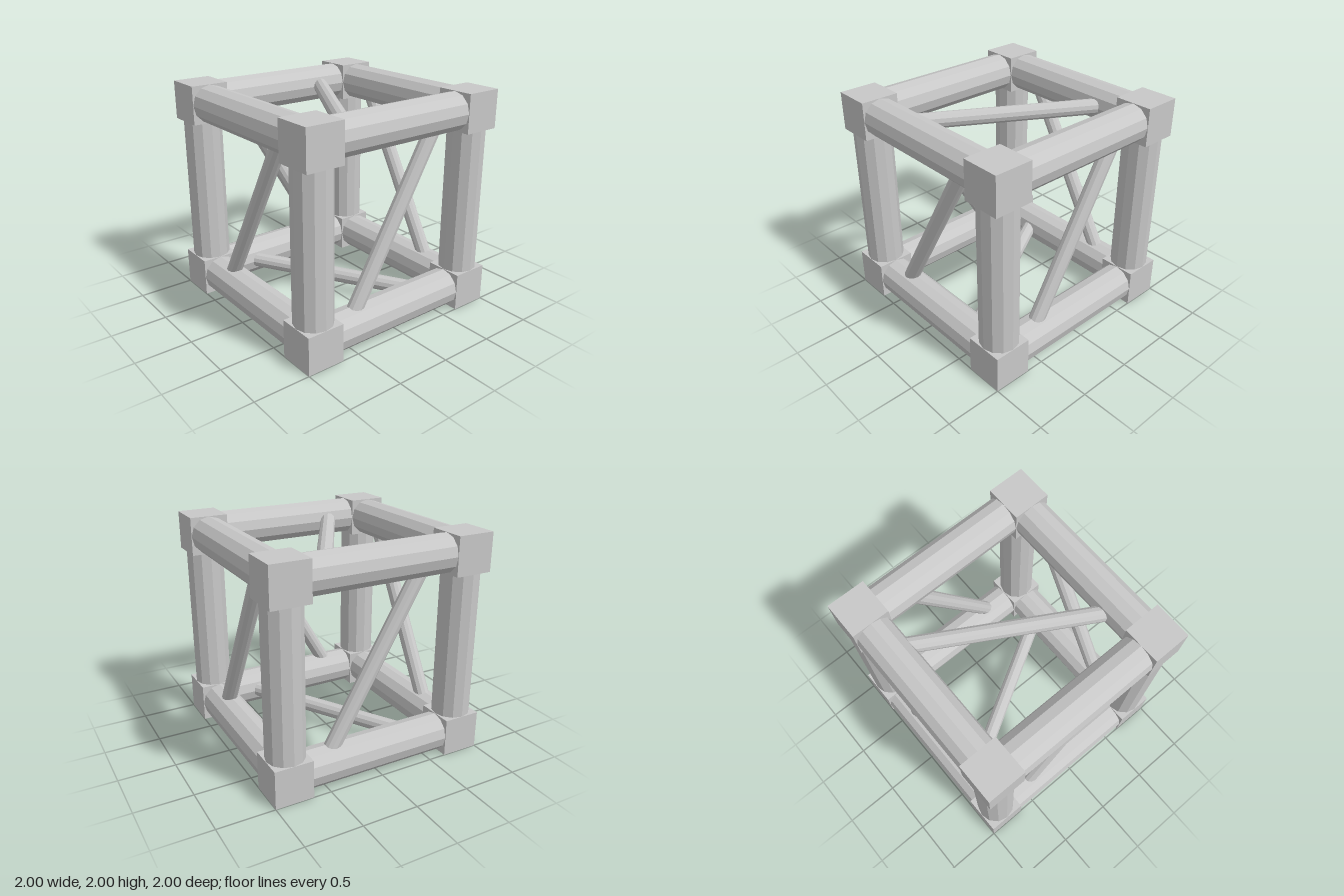
import * as THREE from 'three';

const CUBE = 0.342;            // corner block size
const C = 1 - CUBE / 2;        // distance of block centres from the middle
const BEAM_R = 0.169;
const BRACE_R = 0.07;

export function createModel() {
  const model = new THREE.Group();
  const grey = new THREE.MeshStandardMaterial({ color: 0xc8c8c8 });
  grey.name = 'light grey';
  grey.flatShading = true;

  const frame = new THREE.Group();
  frame.name = 'cubeFrame';
  frame.position.y = 1;
  model.add(frame);

  const add = (parent, name, geometry) => {
    const mesh = new THREE.Mesh(geometry, grey);
    mesh.name = name;
    parent.add(mesh);
    return mesh;
  };

  // Eight corner blocks
  const block = new THREE.BoxGeometry(CUBE, CUBE, CUBE);
  for (const x of [-C, C]) for (const y of [-C, C]) for (const z of [-C, C]) {
    add(frame, 'cornerBlock', block).position.set(x, y, z);
  }

  // Twelve edge beams, four along each axis, running between the blocks
  const beam = new THREE.CylinderGeometry(BEAM_R, BEAM_R, 2 * C - CUBE, 12);
  for (const a of [-C, C]) for (const b of [-C, C]) {
    add(frame, 'uprightBeam', beam).position.set(a, 0, b);
    const across = add(frame, 'crossBeam', beam);
    across.rotation.z = Math.PI / 2;
    across.position.set(0, a, b);
    const deep = add(frame, 'sideBeam', beam);
    deep.rotation.x = Math.PI / 2;
    deep.position.set(a, b, 0);
  }

  // One slanted brace per face, its ends buried in the beams
  const brace = new THREE.CylinderGeometry(BRACE_R, BRACE_R, 2 * C / Math.cos(Math.PI / 6), 12);
  const addBrace = (name, rx, ry) => {
    const face = new THREE.Group();
    face.name = name;
    face.rotation.set(rx, ry, 0);
    const rod = add(face, 'brace', brace);
    rod.rotation.z = -Math.PI / 6;
    rod.position.z = C;
    frame.add(face);
  };
  ['frontBrace', 'leftBrace', 'backBrace', 'rightBrace'].forEach((n, i) => addBrace(n, 0, i * Math.PI / 2));
  addBrace('topBrace', -Math.PI / 2, 0);
  addBrace('bottomBrace', Math.PI / 2, 0);

  return model;
}
